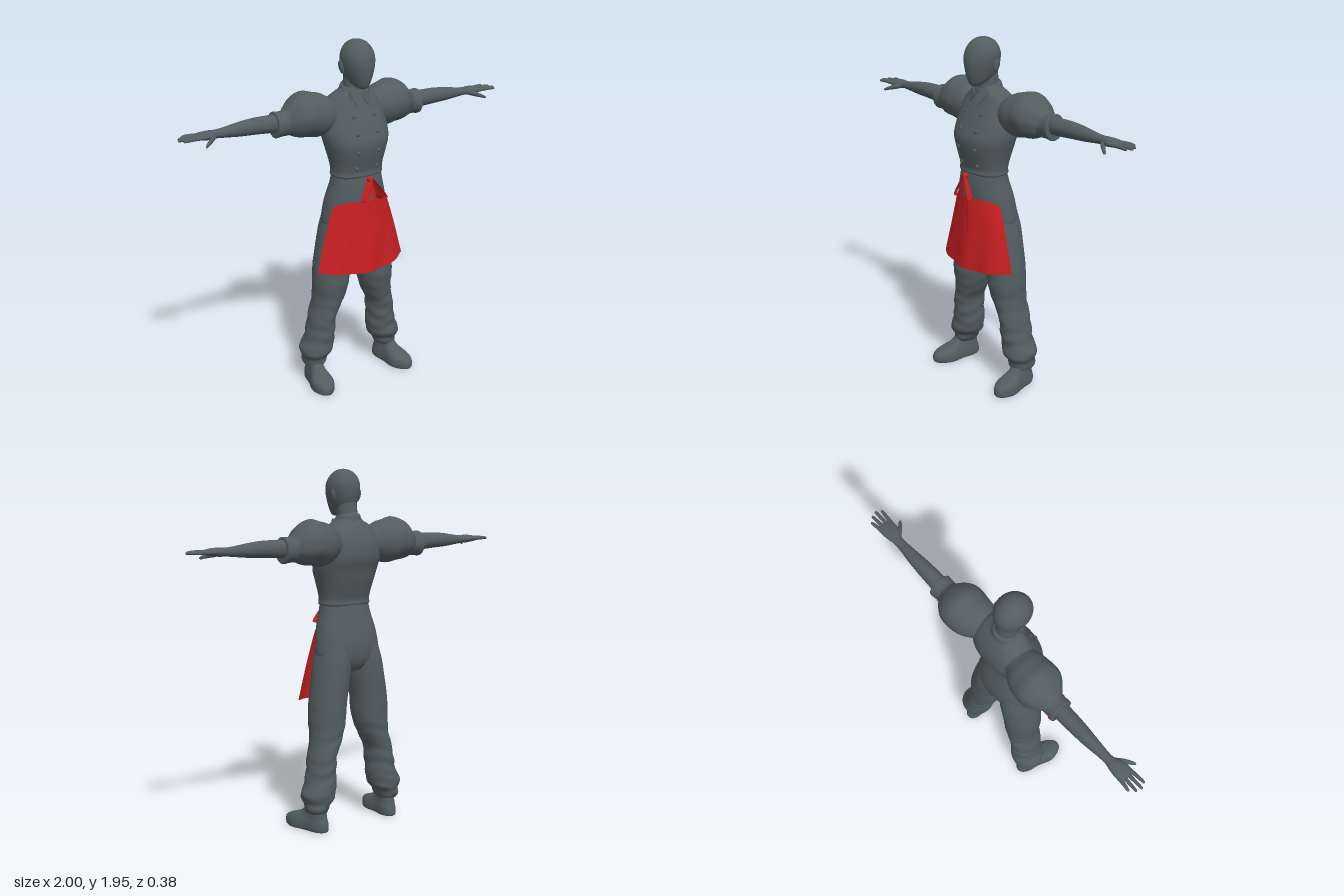
import * as THREE from 'three';
import { mergeGeometries, mergeVertices } from 'three/addons/utils/BufferGeometryUtils.js';

const SEG = 40;

// Smooth loft through sections [y, cx, cz, rx, rz], listed from low to high, with flat end caps.
function loft(sections, { n = 2, steps = 4, ripple = () => 1 } = {}) {
  const rings = [];
  const mix = (a, b, c, d, t) => b + 0.5 * t * (c - a + t * (2 * a - 5 * b + 4 * c - d + t * (3 * (b - c) + d - a)));
  const get = (i) => sections[Math.max(0, Math.min(sections.length - 1, i))];
  for (let i = 0; i < sections.length - 1; i++) {
    for (let k = 0; k < steps; k++) {
      rings.push(get(i).map((_, c) => mix(get(i - 1)[c], get(i)[c], get(i + 1)[c], get(i + 2)[c], k / steps)));
    }
  }
  rings.push(get(sections.length - 1));
  const pos = [], idx = [];
  const ringPoints = ([y, cx, cz, rx, rz]) => {
    for (let j = 0; j < SEG; j++) {
      const a = (j / SEG) * Math.PI * 2, c = Math.cos(a), s = Math.sin(a), r = ripple(a, y);
      pos.push(cx + rx * r * Math.sign(c) * Math.abs(c) ** (2 / n), y, cz + rz * r * Math.sign(s) * Math.abs(s) ** (2 / n));
    }
  };
  rings.forEach(ringPoints);
  for (let i = 0; i < rings.length - 1; i++) {
    for (let j = 0; j < SEG; j++) {
      const a = i * SEG + j, b = i * SEG + ((j + 1) % SEG);
      idx.push(a, a + SEG, b, b, a + SEG, b + SEG);
    }
  }
  for (const [ring, top] of [[rings[0], false], [rings[rings.length - 1], true]]) {
    const base = pos.length / 3;
    ringPoints(ring);
    pos.push(ring[1], ring[0], ring[2]);
    for (let j = 0; j < SEG; j++) {
      const a = base + j, b = base + ((j + 1) % SEG);
      idx.push(base + SEG, ...(top ? [b, a] : [a, b]));
    }
  }
  return finish(pos, idx);
}

function finish(pos, idx) {
  const g = new THREE.BufferGeometry();
  g.setAttribute('position', new THREE.Float32BufferAttribute(pos, 3));
  g.setIndex(idx);
  g.computeVertexNormals();
  return g;
}

// Loft running along x: sections [x, y, z, ry, rz].
const loftX = (sections, opt) =>
  loft(sections.map(([x, y, z, ry, rz]) => [x, -y, z, ry, rz]), opt).rotateZ(-Math.PI / 2);

// Mirrored copy across x = 0 with the face order kept outward.
function mirrored(geo) {
  const g = geo.clone().scale(-1, 1, 1), ix = g.index.array;
  for (let i = 0; i < ix.length; i += 3) [ix[i], ix[i + 1]] = [ix[i + 1], ix[i]];
  g.computeVertexNormals();
  return g;
}

// Flat ribbon of the given width vector along a curve.
function ribbon(points, w, closed = false) {
  const curve = new THREE.CatmullRomCurve3(points.map((p) => new THREE.Vector3(...p)), closed);
  const pos = [], idx = [];
  curve.getPoints(28).forEach((p, i) => {
    pos.push(p.x - w[0], p.y - w[1], p.z - w[2], p.x + w[0], p.y + w[1], p.z + w[2]);
    if (i) idx.push(2 * i - 2, 2 * i - 1, 2 * i, 2 * i - 1, 2 * i + 1, 2 * i);
  });
  return finish(pos, idx);
}

export function createModel() {
  const model = new THREE.Group();
  model.name = 'cook';
  const grey = new THREE.MeshStandardMaterial({ name: 'slate grey', color: 0x525d60 });
  const red = new THREE.MeshStandardMaterial({ name: 'apron red', color: 0xc91f22, side: THREE.DoubleSide });
  const add = (name, geo, mat = grey) => {
    const m = new THREE.Mesh(geo, mat);
    m.name = name;
    model.add(m);
  };
  const pair = (name, geo, mat) => {
    add(name + 'Left', geo, mat);
    add(name + 'Right', mirrored(geo), mat);
  };

  // Head, ears and neck
  add('head', loft([
    [1.7, 0, 0.075, 0.016, 0.02], [1.715, 0, 0.062, 0.04, 0.045], [1.75, 0, 0.035, 0.062, 0.085],
    [1.79, 0, 0.028, 0.077, 0.099], [1.83, 0, 0.026, 0.086, 0.104], [1.87, 0, 0.023, 0.087, 0.101],
    [1.905, 0, 0.021, 0.075, 0.086], [1.932, 0, 0.02, 0.054, 0.062], [1.947, 0, 0.02, 0.028, 0.033], [1.952, 0, 0.02, 0.002, 0.002]]));
  pair('ear', new THREE.SphereGeometry(1, 16, 12).scale(0.01, 0.036, 0.02).rotateZ(-0.15).rotateX(-0.2).translate(0.085, 1.81, 0.0));
  add('neck', loft([[1.62, 0, -0.02, 0.065, 0.07], [1.7, 0, -0.015, 0.056, 0.06], [1.79, 0, -0.005, 0.056, 0.06]]));

  // Fitted double-breasted jacket
  add('jacket', loft([
    [1.222, 0, 0.013, 0.143, 0.096], [1.232, 0, 0.013, 0.15, 0.103], [1.255, 0, 0.013, 0.147, 0.101],
    [1.3, 0, 0.012, 0.153, 0.113], [1.36, 0, 0.01, 0.168, 0.129], [1.42, 0, 0.005, 0.184, 0.139],
    [1.48, 0, -0.015, 0.189, 0.14], [1.54, 0, -0.028, 0.18, 0.128], [1.6, 0, -0.035, 0.168, 0.106],
    [1.65, 0, -0.03, 0.125, 0.083], [1.675, 0, -0.024, 0.085, 0.07], [1.7, 0, -0.02, 0.06, 0.06]], { n: 2.35 }));
  for (const [y, z] of [[1.555, 0.086], [1.47, 0.124], [1.37, 0.135], [1.28, 0.116]]) {
    pair('button', new THREE.SphereGeometry(0.012, 12, 8).scale(1, 1, 0.7).translate(0.063, y, z));
  }

  // Stand collar, higher at the back, with two pointed flaps
  const collar = loft([[1.655, 0, -0.018, 0.076, 0.076], [1.685, 0, -0.018, 0.07, 0.07], [1.698, 0, -0.016, 0.062, 0.062]]);
  const cp = collar.attributes.position;
  for (let i = 0; i < cp.count; i++) cp.setY(i, cp.getY(i) - cp.getZ(i) * 0.3);
  collar.computeVertexNormals();
  add('collar', collar);
  const flap = new THREE.ExtrudeGeometry(
    new THREE.Shape([[0.003, 0.05], [0.055, 0.085], [0.064, 0.06], [0.034, 0]].map((p) => new THREE.Vector2(...p))),
    { depth: 0.006, bevelEnabled: false });
  const fp = flap.attributes.position;
  for (let i = 0; i < fp.count; i++) {
    const x = fp.getX(i), y = fp.getY(i);
    fp.setZ(i, fp.getZ(i) + 0.085 - y * 0.3 - x * x * 7);
  }
  flap.translate(0, 1.605, 0).deleteAttribute('normal').deleteAttribute('uv');
  flap.computeVertexNormals();
  pair('collarFlap', mergeVertices(flap));

  // Puffed sleeves with gathers and turned cuffs
  pair('puffSleeve', loftX([
    [0.1, 1.56, -0.045, 0.075, 0.075], [0.14, 1.56, -0.05, 0.09, 0.095], [0.18, 1.562, -0.057, 0.11, 0.113],
    [0.225, 1.563, -0.062, 0.12, 0.122], [0.27, 1.573, -0.064, 0.121, 0.126], [0.315, 1.568, -0.064, 0.112, 0.121],
    [0.355, 1.56, -0.065, 0.092, 0.098], [0.39, 1.55, -0.066, 0.066, 0.066], [0.41, 1.545, -0.066, 0.06, 0.06]],
  { ripple: (a, x) => 1 + 0.018 * Math.sin(9 * a) * Math.min(1, Math.max(0, (x - 0.2) * 6)) }));
  pair('cuff', loftX([
    [0.382, 1.542, -0.066, 0.06, 0.058], [0.388, 1.542, -0.066, 0.067, 0.064], [0.42, 1.541, -0.066, 0.066, 0.063],
    [0.452, 1.54, -0.067, 0.07, 0.066], [0.458, 1.54, -0.067, 0.064, 0.06]]));

  // Bare forearms
  pair('forearm', loftX([
    [0.43, 1.548, -0.067, 0.048, 0.046], [0.5, 1.55, -0.067, 0.046, 0.044], [0.58, 1.552, -0.067, 0.043, 0.041],
    [0.66, 1.55, -0.067, 0.037, 0.035], [0.74, 1.548, -0.065, 0.027, 0.027], [0.79, 1.548, -0.064, 0.022, 0.026],
    [0.82, 1.549, -0.06, 0.023, 0.036], [0.86, 1.55, -0.058, 0.02, 0.044], [0.9, 1.55, -0.058, 0.013, 0.043],
    [0.915, 1.55, -0.058, 0.006, 0.036]]));

  // Four fanned fingers and a thumb
  const fingers = [[-0.092, -0.1, 0.965], [-0.07, -0.074, 0.99], [-0.047, -0.045, 1.0], [-0.025, -0.017, 0.985]].map(
    ([z0, z1, tip]) => loftX([
      [0.885, 1.55, z0, 0.01, 0.011], [0.93, 1.552, (z0 + z1) / 2, 0.0095, 0.0095],
      [tip - 0.01, 1.55, z1, 0.007, 0.0075], [tip, 1.548, z1, 0.002, 0.002]]));
  fingers.push(loftX([
    [0.8, 1.545, -0.05, 0.014, 0.016], [0.83, 1.537, -0.022, 0.015, 0.017], [0.86, 1.527, 0.005, 0.011, 0.013],
    [0.88, 1.519, 0.02, 0.008, 0.009], [0.888, 1.516, 0.025, 0.002, 0.002]]));
  pair('fingers', mergeGeometries(fingers));

  // Loose trousers, crumpling toward the ankles
  add('trouserSeat', loft([
    [0.865, 0, -0.02, 0.08, 0.07], [0.9, 0, -0.018, 0.155, 0.1], [0.95, 0, -0.015, 0.193, 0.12], [1.02, 0, -0.01, 0.189, 0.126],
    [1.1, 0, 0.0, 0.175, 0.122], [1.18, 0, 0.01, 0.153, 0.11], [1.245, 0, 0.013, 0.143, 0.096]], { n: 2.15 }));
  const crumple = (a, y) => {
    const k = Math.max(0, Math.min(1, (0.75 - y) * 2.2));
    return 1 + k * (0.024 * Math.sin(y * 62 + 1.6 * Math.sin(a) + 2 * Math.cos(a)) + 0.016 * Math.sin(y * 95 - 2 * Math.sin(2 * a)));
  };
  pair('trouserLeg', loft([
    [0.105, 0.245, -0.06, 0.054, 0.068], [0.125, 0.243, -0.06, 0.064, 0.078], [0.155, 0.238, -0.058, 0.072, 0.082],
    [0.185, 0.23, -0.055, 0.09, 0.097], [0.22, 0.224, -0.055, 0.093, 0.098], [0.28, 0.208, -0.05, 0.081, 0.095],
    [0.36, 0.2, -0.045, 0.075, 0.096], [0.42, 0.19, -0.042, 0.073, 0.098], [0.5, 0.162, -0.035, 0.085, 0.101],
    [0.6, 0.147, -0.026, 0.099, 0.112], [0.7, 0.14, -0.025, 0.101, 0.114], [0.85, 0.115, -0.02, 0.102, 0.118],
    [0.93, 0.104, -0.015, 0.097, 0.12], [1.02, 0.09, -0.01, 0.085, 0.11]], { steps: 7, ripple: crumple }));

  // Round-toed shoes, narrowed at the instep and turned outward
  const shoe = loft([
    [0, 0, 0, 0.06, 0.146], [0.008, 0, 0, 0.065, 0.151], [0.03, 0, 0, 0.066, 0.152], [0.052, 0, -0.004, 0.063, 0.144],
    [0.072, 0, -0.025, 0.057, 0.116], [0.095, 0, -0.052, 0.052, 0.085], [0.125, 0, -0.066, 0.05, 0.067]], { n: 2.3 });
  const sp = shoe.attributes.position;
  for (let i = 0; i < sp.count; i++) {
    const z = sp.getZ(i);
    sp.setX(i, sp.getX(i) * (0.9 - 0.14 * Math.exp(-((z + 0.03) ** 2) / 0.003) + 0.16 * Math.exp(-((z - 0.07) ** 2) / 0.004)));
  }
  shoe.computeVertexNormals();
  pair('shoe', shoe.rotateY(0.16).translate(0.255, 0, 0.013));

  // Short flared apron, wrapped around the front with soft folds
  const apron = new THREE.PlaneGeometry(2, 1, 40, 16);
  const ap = apron.attributes.position;
  for (let i = 0; i < ap.count; i++) {
    const u = ap.getX(i), v = 0.5 - ap.getY(i);
    const top = 1.098 - 0.022 * u ** 4 - 0.02 * u ** 12, bottom = 0.688 + 0.022 * u * u;
    ap.setXYZ(i, u * (0.178 + 0.1 * v ** 0.9), top + (bottom - top) * v,
      0.138 + 0.02 * v - (0.09 + 0.004 * v) * u * u + 0.007 * v * Math.sin(u * 9 + 2 * v));
  }
  apron.computeVertexNormals();
  add('apron', apron, red);

  // Bow with two drooping loops and two hanging tails
  add('bowKnot', new THREE.SphereGeometry(0.017, 14, 10).translate(0, 1.22, 0.146), red);
  const loop = (s) => ribbon([
    [0, 1.222, 0.145], [s * 0.35, 1.19, 0.158], [s * 0.85, 1.135, 0.168], [s, 1.108, 0.17],
    [s * 0.75, 1.105, 0.168], [s * 0.4, 1.14, 0.16]], [0.008, 0.003, 0.017], true);
  add('bowLoopRight', loop(-0.055), red);
  add('bowLoopLeft', loop(0.08), red);
  add('bowTailShort', ribbon([[0, 1.22, 0.15], [-0.012, 1.16, 0.153], [-0.012, 1.09, 0.156], [0.002, 1.03, 0.158]], [0.009, 0, 0.002]), red);
  add('bowTailLong', ribbon([[0.002, 1.22, 0.152], [0.02, 1.13, 0.157], [0.03, 1.02, 0.16], [0.038, 0.91, 0.166]], [0.009, 0, 0.002]), red);

  return model;
}
